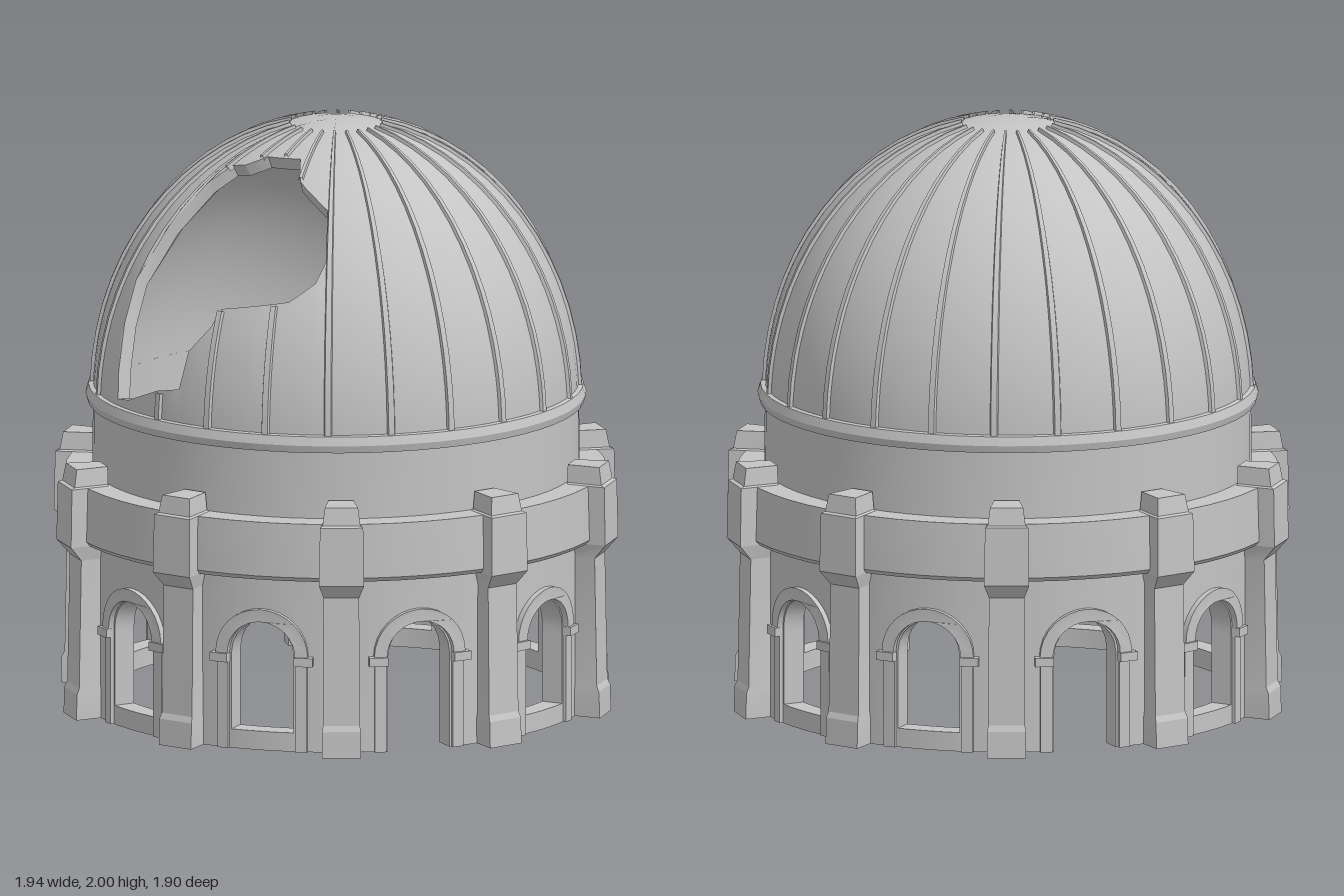
import * as THREE from 'three';
import { mergeGeometries, toCreasedNormals } from 'three/addons/utils/BufferGeometryUtils.js';

const RAD = Math.PI / 180;
const stone = new THREE.MeshStandardMaterial({ color: 0xc4c4c4, side: THREE.DoubleSide });
stone.name = 'pale grey stone';

// Point on a circle; azimuth in degrees from the front (+z) towards +x
const polar = (az, r, y) => [Math.sin(az * RAD) * r, y, Math.cos(az * RAD) * r];

function part(name, geo, crease = 0.5) {
  const mesh = new THREE.Mesh(toCreasedNormals(geo, crease), stone);
  mesh.name = name;
  return mesh;
}

// Grid surface through point(i, j); i runs around, j runs up, skip(i) leaves a column out
function grid(nu, nv, point, flip = false, skip = () => false) {
  const pos = [], index = [];
  for (let i = 0; i <= nu; i++) for (let j = 0; j <= nv; j++) pos.push(...point(i, j));
  for (let i = 0; i < nu; i++) {
    if (skip(i)) continue;
    for (let j = 0; j < nv; j++) {
      const a = i * (nv + 1) + j, b = a + nv + 1;
      if (flip) index.push(a, b + 1, b, a, a + 1, b + 1);
      else index.push(a, b, b + 1, a, b + 1, a + 1);
    }
  }
  const geo = new THREE.BufferGeometry();
  geo.setAttribute('position', new THREE.Float32BufferAttribute(pos, 3));
  geo.setIndex(index);
  return geo;
}

// Thick round shell with openings: each column is [azimuth, opening bottom, opening top]
function shell(cols, t0, t1, rows, profile) {
  const n = cols.length - 1;
  const at = (az, t, inner) => polar(az, ...profile(t, inner));
  const low = inner => grid(n, rows, (i, j) =>
    at(cols[i][0], t0 + (cols[i][1] - t0) * j / rows, inner), inner,
    i => cols[i][1] <= t0 && cols[i + 1][1] <= t0);
  const high = inner => grid(n, rows, (i, j) =>
    at(cols[i][0], cols[i][2] + (t1 - cols[i][2]) * j / rows, inner), inner);
  const closed = i => cols[i][1] === cols[i][2] && cols[i + 1][1] === cols[i + 1][2];
  const noSill = i => cols[i][1] <= t0 && cols[i + 1][1] <= t0;
  return mergeGeometries([
    low(false), low(true), high(false), high(true),
    grid(n, 1, (i, j) => at(cols[i][0], cols[i][1], j === 1), false, i => closed(i) || noSill(i)),
    grid(n, 1, (i, j) => at(cols[i][0], cols[i][2], j === 0), false, closed),
    grid(n, 1, (i, j) => at(cols[i][0], t0, j === 0), false, noSill),
  ]);
}

// Straight-line lookup in a list of [x, y]
function lookup(table, x) {
  for (let i = 1; i < table.length; i++) {
    const [x0, y0] = table[i - 1], [x1, y1] = table[i];
    if (x <= x1) return y0 + (y1 - y0) * (x - x0) / (x1 - x0);
  }
  return table[table.length - 1][1];
}

// Wraps a flat geometry (x along the wall, z outwards) around the arcade wall
const WALL = 0.86;
function bend(geo, az) {
  const p = geo.attributes.position;
  for (let i = 0; i < p.count; i++) {
    p.setXYZ(i, ...polar(az + p.getX(i) / WALL / RAD, WALL + p.getZ(i), p.getY(i)));
  }
  return geo;
}

// Arcade wall: ten arched bays, two of them open to the ground
function arcadeWall() {
  const cols = [], half = 7.3;
  for (let bay = 0; bay < 10; bay++) {
    const c = bay * 36, sill = bay % 5 === 1 ? 0 : 0.065;
    cols.push([c - 18, 0.3, 0.3], [c - 12.6, 0.3, 0.3], [c - half, 0.3, 0.3]);
    for (let k = 0; k <= 10; k++) {
      const a = Math.PI * k / 10;
      cols.push([c - half * Math.cos(a), sill, 0.33 + 0.115 * Math.sin(a)]);
    }
    cols.push([c + half, 0.3, 0.3], [c + 12.6, 0.3, 0.3]);
  }
  cols.push([342, 0.3, 0.3]);
  return part('arcadeWall', shell(cols, 0, 0.61, 1, (t, inner) => [inner ? 0.785 : WALL, t]));
}

// Raised arch, imposts and jamb strips around one opening
function windowSurround(az) {
  const g = new THREE.Group();
  g.name = 'windowSurround';
  const arch = new THREE.Shape();
  arch.absarc(0, 0.33, 0.16, 0, Math.PI, false);
  arch.absarc(0, 0.33, 0.117, Math.PI, 0, true);
  const archGeo = new THREE.ExtrudeGeometry(arch, { depth: 0.03, bevelEnabled: false, curveSegments: 8 });
  g.add(part('archMoulding', bend(archGeo.translate(0, 0, -0.01), az)));
  for (const s of [-1, 1]) {
    g.add(part('impost', bend(new THREE.BoxGeometry(0.062, 0.03, 0.05).translate(s * 0.146, 0.315, 0.005), az)));
    g.add(part('jambStrip', bend(new THREE.BoxGeometry(0.04, 0.3, 0.03).translate(s * 0.137, 0.15, -0.003), az)));
  }
  return g;
}

// Buttress pillar: stacked sections of [height, half width, outer radius]
function pillar(az) {
  const rows = [[0, 0.066, 0.95], [0.09, 0.066, 0.947], [0.11, 0.062, 0.938], [0.55, 0.06, 0.93],
    [0.6, 0.076, 0.972], [0.8, 0.073, 0.968], [0.805, 0.064, 0.955], [0.865, 0.056, 0.945]];
  const n = rows.length - 1;
  const geo = new THREE.BoxGeometry(1, 1, 1, 1, n, 1);
  const p = geo.attributes.position;
  for (let i = 0; i < p.count; i++) {
    const [y, w, r] = rows[Math.round((p.getY(i) + 0.5) * n)];
    const out = p.getZ(i) > 0;
    p.setXYZ(i, Math.sign(p.getX(i)) * w * (out ? 1 : 0.75), y, out ? r : 0.83);
  }
  return part('pillar', geo.rotateY(az * RAD), 0.2);
}

const ring = (name, pts) => part(name,
  new THREE.LatheGeometry(pts.map(([r, y]) => new THREE.Vector2(r, y)), 60));

// Dome: elliptical section, t is the angle above its base
const BASE = 1.05, RISE = 0.95, RADIUS = 0.82;
const domePoint = (t, d) => [(RADIUS + d) * Math.cos(t), BASE + (RISE + d) * Math.sin(t)];
const angleAt = y => Math.asin((y - BASE) / RISE);

// Broken opening: lower and upper edge heights by azimuth
const breakLow = [[-52, 1.5], [-50, 1.36], [-47, 1.11], [-42, 1.12], [-31, 1.18], [-24, 1.2], [-22.5, 1.33],
  [-17, 1.42], [-15, 1.48], [4, 1.52], [11, 1.58], [14.5, 1.66], [15, 1.7]];
const breakHigh = [[-52, 1.5], [-50, 1.68], [-48, 1.82], [-44, 1.88], [-36, 1.89], [-27, 1.92], [-5, 1.925],
  [0, 1.87], [8, 1.83], [14.5, 1.79], [15, 1.7]];
const inBreak = az => az > -52 && az < 15;

function dome() {
  const azs = new Set([...breakLow, ...breakHigh].map(k => k[0]));
  for (let a = -180; a <= 180; a += 4) azs.add(a);
  const cols = [...azs].sort((a, b) => a - b).map(az => {
    if (!inBreak(az)) {
      const t = angleAt(az === 15 ? 1.7 : az === -52 ? 1.5 : 1.6);
      return [az, t, t];
    }
    return [az, angleAt(lookup(breakLow, az)), angleAt(lookup(breakHigh, az))];
  });
  return part('brokenDome', shell(cols, angleAt(1.06), Math.PI / 2, 10,
    (t, inner) => domePoint(t, inner ? -0.045 : 0)));
}

// Tapering raised rib between two angles on the dome
function rib(az, t0, t1) {
  const across = [[1, -0.01], [0.6, 0.011], [-0.6, 0.011], [-1, -0.01]];
  const geo = grid(3, 14, (i, j) => {
    const t = t0 + (t1 - t0) * j / 14;
    const [r, y] = domePoint(t, across[3 - i][1]);
    const w = 0.003 + 0.014 * Math.cos(t);
    return polar(az + across[3 - i][0] * w / r / RAD, r, y);
  });
  return part('domeRib', geo);
}

export function createModel() {
  const model = new THREE.Group();
  model.name = 'ruinedDomedRotunda';
  model.add(arcadeWall());
  for (let k = 0; k < 10; k++) {
    model.add(windowSurround(k * 36), pillar(k * 36 + 18));
  }
  // Cornice, drum and the moulding under the dome
  model.add(ring('cornice', [[0.785, 0.6], [0.905, 0.6], [0.918, 0.615], [0.912, 0.8], [0.8, 0.8]]));
  model.add(ring('drum', [[0.785, 0.6], [0.775, 1.06], [0.82, 1.06], [0.822, 0.8]]));
  model.add(ring('domeMoulding', [[0.81, 1.03], [0.838, 1.03], [0.845, 1.055], [0.835, 1.085], [0.808, 1.09]]));
  model.add(dome());
  // Ribs, interrupted by the broken opening
  const bottom = angleAt(1.08), top = 1.38;
  for (let az = -180; az < 180; az += 15) {
    const spans = inBreak(az)
      ? [[bottom, angleAt(lookup(breakLow, az)) - 0.01], [angleAt(lookup(breakHigh, az)) + 0.01, top]]
      : [[bottom, top]];
    for (const [a, b] of spans) if (b - a > 0.06) model.add(rib(az, a, b));
  }
  return model;
}
